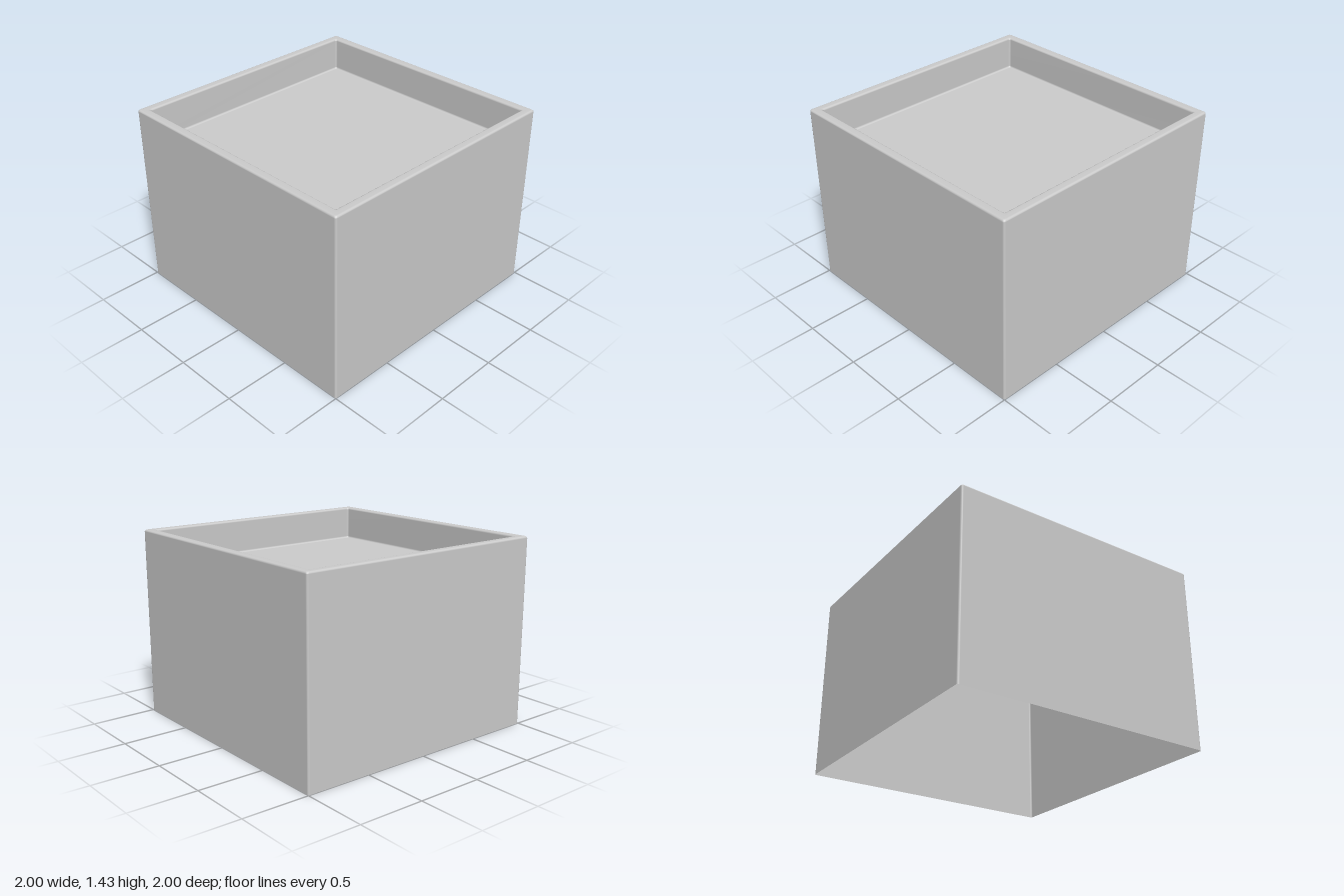
import * as THREE from 'three';

const HEIGHT = 1.43, FLOOR = 1.17, INNER = 0.933, FILLET = 0.015, RIM = 0.967;
const material = new THREE.MeshStandardMaterial({ color: 0xcccccc, side: THREE.DoubleSide });

// Corner points of a rounded square with the given half width
function ring(half, y, radius = 0.015, steps = 4) {
  const points = [];
  for (let c = 0; c < 4; c++) {
    const mid = (c + 0.5) * Math.PI / 2;
    const cx = Math.sign(Math.cos(mid)) * (half - radius);
    const cz = Math.sign(Math.sin(mid)) * (half - radius);
    for (let i = 0; i <= steps; i++) {
      const t = (c + i / steps) * Math.PI / 2;
      points.push([cx + radius * Math.cos(t), y, cz + radius * Math.sin(t)]);
    }
  }
  return points;
}

// Quarter-round edge in the [half width, height] profile
function fillet(cx, cy, from, to, steps = 4) {
  return Array.from({ length: steps + 1 }, (_, i) => {
    const t = THREE.MathUtils.lerp(from, to, i / steps);
    return [cx + FILLET * Math.cos(t), cy + FILLET * Math.sin(t)];
  });
}

// Skin a profile of rounded squares, optionally closing the last one
function loft(name, profile, capped) {
  const rings = profile.map(([half, y]) => ring(half, y));
  const n = rings[0].length, positions = rings.flat(2), index = [];
  for (let r = 0; r < rings.length - 1; r++) {
    for (let i = 0; i < n; i++) {
      const a = r * n + i, b = r * n + (i + 1) % n;
      index.push(a, a + n, b, b, a + n, b + n);
    }
  }
  if (capped) {
    const centre = positions.length / 3, start = centre - n;
    positions.push(0, profile.at(-1)[1], 0);
    for (let i = 0; i < n; i++) index.push(start + i, centre, start + (i + 1) % n);
  }
  const geometry = new THREE.BufferGeometry();
  geometry.setAttribute('position', new THREE.Float32BufferAttribute(positions, 3));
  geometry.setIndex(index);
  geometry.computeVertexNormals();
  const mesh = new THREE.Mesh(geometry, material);
  mesh.name = name;
  return mesh;
}

export function createModel() {
  const group = new THREE.Group();
  group.name = 'squarePlanter';
  const q = Math.PI / 2;

  // Outer skin, open underneath, rounding over onto the rim
  group.add(loft('outerWalls', [
    [1, 0],
    ...fillet(1 - FILLET, HEIGHT - FILLET, 0, q),
    [RIM, HEIGHT],
  ], false));

  // Shallow recess with rounded lip and floor edge
  group.add(loft('recessedTray', [
    [RIM, HEIGHT],
    ...fillet(INNER + FILLET, HEIGHT - FILLET, q, 2 * q),
    ...fillet(INNER - FILLET, FLOOR + FILLET, 0, -q),
  ], true));

  return group;
}
